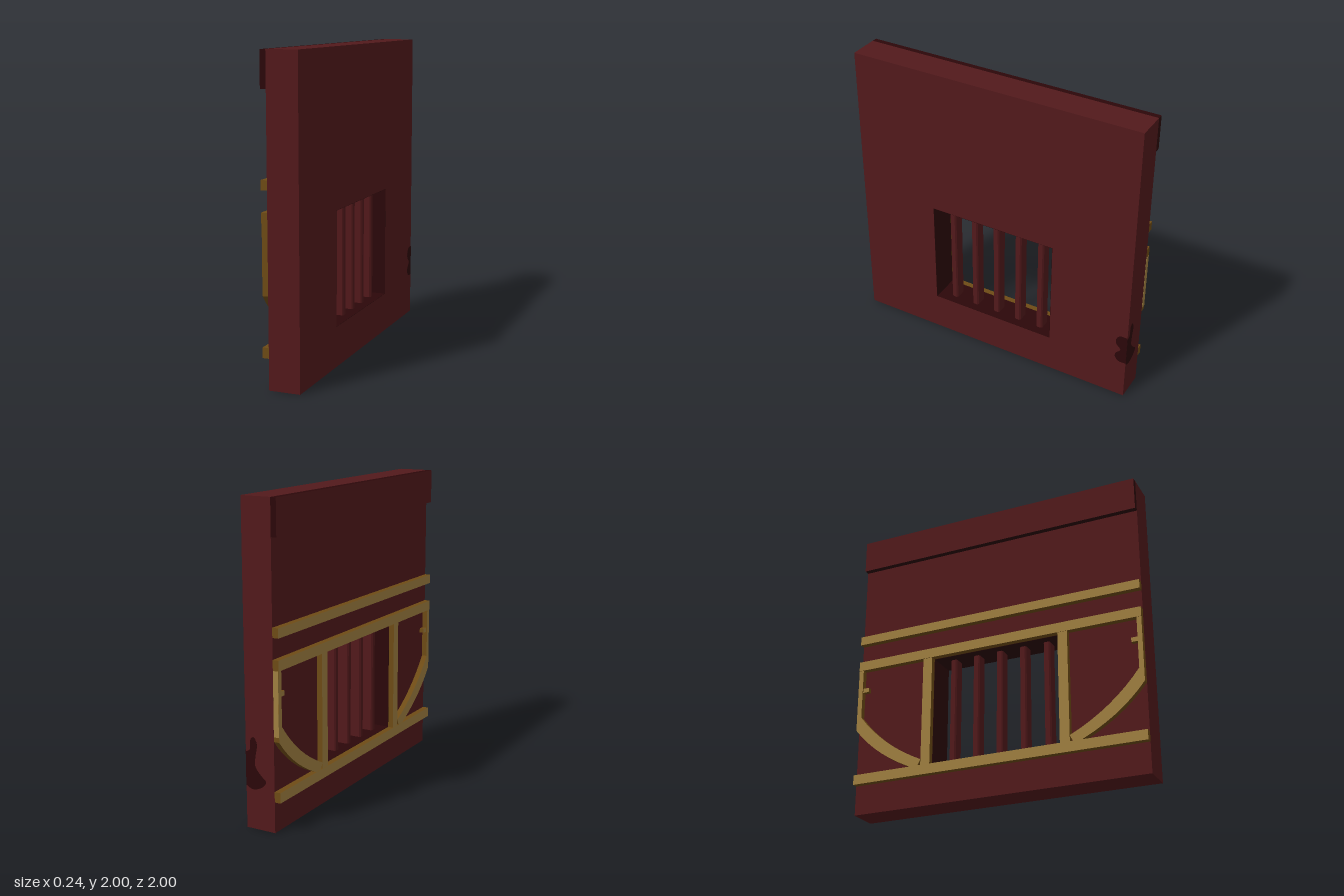
import * as THREE from 'three';

export function createModel() {
  const group = new THREE.Group();
  const mat = (name, color) => {
    const m = new THREE.MeshStandardMaterial({ color });
    m.name = name;
    return m;
  };
  const plaster = mat('dark red wall', 0x52191b);
  const trim = mat('deep red trim', 0x2b0709);
  const brown = mat('brown wood', 0x6e4b15);
  const tan = mat('tan wood', 0xa08040);

  const add = (name, geometry, material) => {
    const mesh = new THREE.Mesh(geometry, material);
    mesh.name = name;
    group.add(mesh);
    return mesh;
  };
  // Box given by its minimum and maximum corners, with its own colour on the -x face
  const box = (name, sides, outer, [x0, y0, z0], [x1, y1, z1]) =>
    add(name, new THREE.BoxGeometry(x1 - x0, y1 - y0, z1 - z0), [sides, outer, sides, sides, sides, sides])
      .position.set((x0 + x1) / 2, (y0 + y1) / 2, (z0 + z1) / 2);
  // Outline in (z, y), extruded from x = xFront towards -x
  const slab = (name, material, shape, xFront, depth) => {
    const g = new THREE.ExtrudeGeometry(shape, { depth, bevelEnabled: false, curveSegments: 8 });
    g.rotateY(-Math.PI / 2).translate(xFront, 0, 0);
    return add(name, g, material);
  };
  const rect = (Type, a0, b0, a1, b1) => {
    const s = new Type();
    s.moveTo(a0, b0);
    s.lineTo(a1, b0);
    s.lineTo(a1, b1);
    s.lineTo(a0, b1);
    s.closePath();
    return s;
  };
  const blob = (points) => {
    const s = new THREE.Shape();
    s.moveTo(...points[0]);
    s.splineThru(points.slice(1).map(p => new THREE.Vector2(...p)));
    s.closePath();
    return s;
  };

  // Wall with a window opening
  const wall = rect(THREE.Shape, -1, 0, 1, 2);
  wall.holes.push(rect(THREE.Path, -0.445, 0.26, 0.445, 1));
  slab('wall', plaster, wall, 0.12, 0.2);

  // Dark lining of the opening
  const lining = rect(THREE.Shape, -0.445, 0.26, 0.445, 1);
  lining.holes.push(rect(THREE.Path, -0.443, 0.262, 0.443, 0.998));
  slab('windowLining', trim, lining, 0.12, 0.2);

  // Chamfered window bars
  const w = 0.0225, d = 0.043, c = 0.009;
  const section = new THREE.Shape([
    [d, w - c], [d - c, w], [c - d, w], [-d, w - c],
    [-d, c - w], [c - d, -w], [d - c, -w], [d, c - w],
  ].map(p => new THREE.Vector2(...p)));
  for (let i = -2; i <= 2; i++) {
    const g = new THREE.ExtrudeGeometry(section, { depth: 0.74, bevelEnabled: false });
    g.rotateX(-Math.PI / 2);
    add('windowBar', g, plaster).position.set(0.02, 0.26, i * 0.166);
  }

  // Band along the top, dark on its edges
  box('topBand', trim, plaster, [-0.117, 1.775, -1], [-0.08, 1.999, 1]);

  // Horizontal rails
  for (const [y0, y1] of [[0.195, 0.26], [1.0, 1.065], [1.195, 1.255]])
    box('rail', brown, tan, [-0.12, y0, -1], [-0.08, y1, 1]);

  // Posts, edge strips and curved braces, mirrored about the window
  for (const s of [1, -1]) {
    const side = (name, y0, y1, z0, z1, x0 = -0.117) =>
      box(name, brown, tan, [x0, y0, Math.min(s * z0, s * z1)], [-0.08, y1, Math.max(s * z0, s * z1)]);
    side('windowPost', 0.26, 1.0, 0.445, 0.51);
    side('edgePost', 0.6, 1.0, 0.968, 0.999);
    side('postNotch', 0.84, 0.87, 0.925, 0.968, -0.11);

    const brace = new THREE.Shape();
    brace.moveTo(s * 0.999, 0.57);
    brace.quadraticCurveTo(s * 0.83, 0.36, s * 0.54, 0.24);
    brace.lineTo(s * 0.51, 0.3);
    brace.quadraticCurveTo(s * 0.79, 0.43, s * 0.968, 0.66);
    brace.lineTo(s * 0.999, 0.66);
    brace.closePath();
    slab('curvedBrace', [tan, brown], brace, -0.08, 0.037);
  }
  // Pale outer face of the rear edge strip
  box('edgeStripFace', tan, tan, [-0.116, 0.6, -1.001], [-0.081, 1.0, -0.998]);

  // Dark stain wrapping round the rear edge
  const broadStain = blob([
    [-1, 0.28], [-0.955, 0.28], [-0.925, 0.305], [-0.925, 0.34],
    [-0.957, 0.38], [-0.925, 0.42], [-0.925, 0.46], [-0.95, 0.488], [-1, 0.49],
  ]);
  slab('sideStain', trim, broadStain, 0.1215, 0.004);
  const endStain = blob([
    [0.12, 0.27], [0.07, 0.25], [0.01, 0.27], [-0.02, 0.31], [0.02, 0.35],
    [0.055, 0.4], [0.05, 0.47], [0.04, 0.53], [0.06, 0.575], [0.085, 0.56], [0.09, 0.5], [0.12, 0.48],
  ]);
  const endGeometry = new THREE.ExtrudeGeometry(endStain, { depth: 0.004, bevelEnabled: false });
  add('endStain', endGeometry, trim).position.z = -1.0015;

  return group;
}
